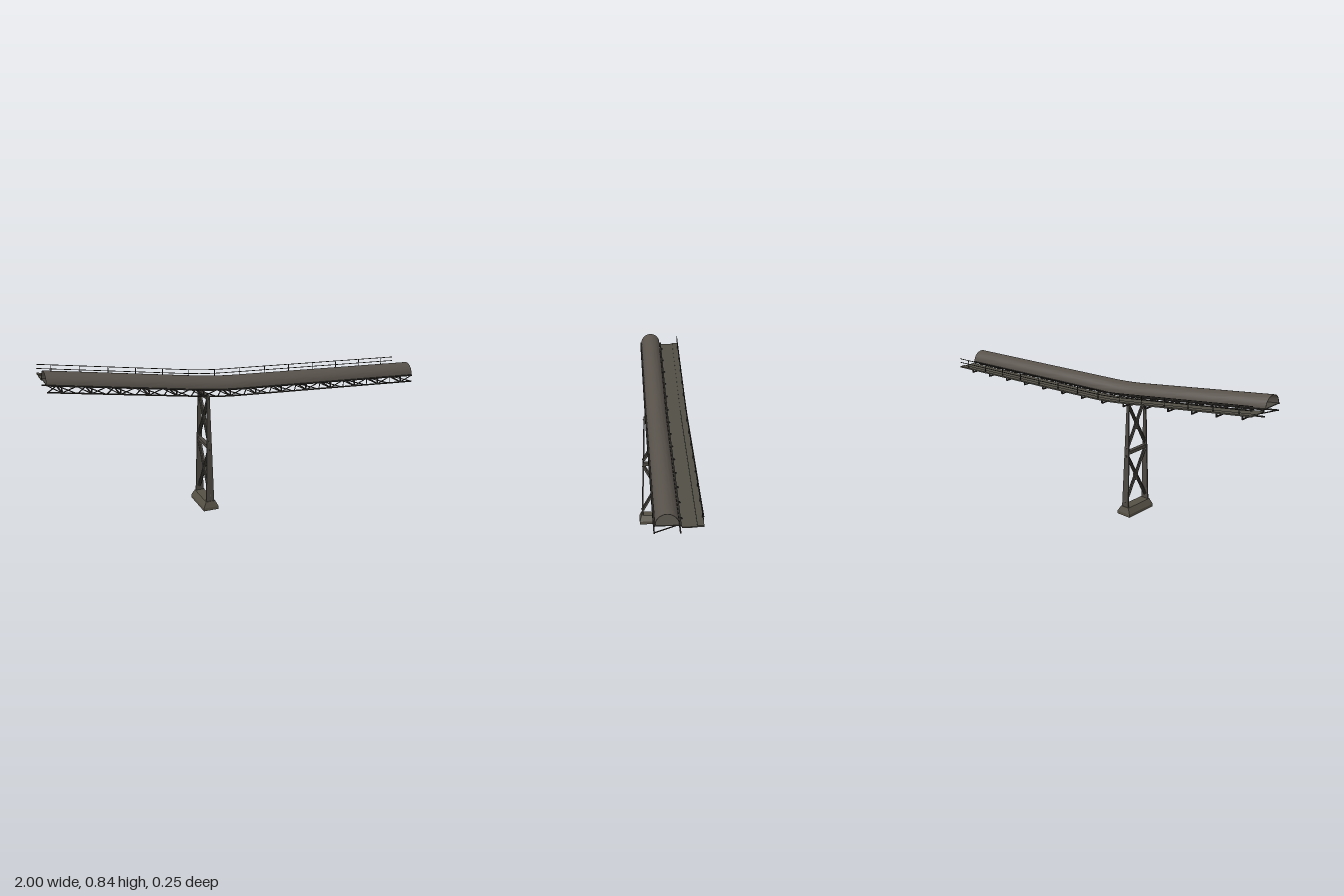
import * as THREE from 'three';
import { toCreasedNormals, mergeGeometries } from 'three/addons/utils/BufferGeometryUtils.js';

const paint = (name, color) => Object.assign(new THREE.MeshStandardMaterial({ color }), { name });
const V = (x, y, z) => new THREE.Vector3(x, y, z);

// Height of the gallery floor: two straight slopes blended by a short curve
function floorY(x) {
  const a = -0.24, b = -0.02, left = -0.163, right = -0.0585;
  if (x >= b) return 0.577 + right * (x - 1);
  if (x <= a) return 0.785 + left * (x + 1);
  const t = x - a;
  return 0.785 + left * (a + 1) + left * t + (right - left) * t * t / (2 * (b - a));
}

// Sweep a (z, y) outline along the gallery from x = -1 to x = 1
function sweep(points, crease) {
  const shape = new THREE.Shape(points.map(([z, y]) => new THREE.Vector2(-z, y)));
  let g = new THREE.ExtrudeGeometry(shape, { depth: 2, steps: 40, bevelEnabled: false });
  g.rotateY(Math.PI / 2).translate(-1, 0, 0);
  const p = g.attributes.position;
  for (let i = 0; i < p.count; i++) p.setY(i, p.getY(i) + floorY(p.getX(i)));
  g.computeVertexNormals();
  return crease ? toCreasedNormals(g, 0.6) : g;
}
const rect = (z0, z1, y0, y1) => sweep([[z0, y0], [z1, y0], [z1, y1], [z0, y1]]);

// Straight bar between two points, w wide sideways and h deep
function bar(a, b, w, h = w) {
  const o = new THREE.Object3D();
  o.position.copy(a).add(b).multiplyScalar(0.5);
  o.lookAt(b);
  o.updateMatrix();
  return new THREE.BoxGeometry(w, h, a.distanceTo(b)).applyMatrix4(o.matrix);
}

// Box whose lower and upper ends differ: [x size, z size, z centre]
function taper(x, y0, y1, low, high) {
  const g = new THREE.BoxGeometry(1, 1, 1).toNonIndexed();
  const p = g.attributes.position;
  for (let i = 0; i < p.count; i++) {
    const up = p.getY(i) > 0, [sx, sz, cz] = up ? high : low;
    p.setXYZ(i, x + p.getX(i) * sx, up ? y1 : y0, cz + p.getZ(i) * sz);
  }
  g.computeVertexNormals();
  return g;
}

export function createModel() {
  const root = new THREE.Group();
  root.name = 'conveyorGallery';
  const cover = paint('coverSteel', 0x57514a);
  const steel = paint('frameSteel', 0x4c4842);
  const deck = paint('walkwayDeck', 0x504d44);
  const dark = paint('darkSteel', 0x2e2c29);
  const concrete = paint('footing', 0x555045);
  const add = (name, geos, mat, parent = root) => {
    const list = [].concat(geos);
    const m = new THREE.Mesh(list.length > 1 ? mergeGeometries(list) : list[0], mat);
    m.name = name;
    parent.add(m);
    return m;
  };

  // Arched cover, a thin half tube open at both ends
  const cz = 0.035, arc = [];
  for (let i = 0; i <= 20; i++) arc.push([i * Math.PI / 20, 0.053]);
  for (let i = 20; i >= 0; i--) arc.push([i * Math.PI / 20, 0.051]);
  add('archedCover', sweep(arc.map(([a, r]) => [cz + r * Math.cos(a), r * Math.sin(a)]), true), cover);

  // Belt floor and walkway with its raised edge strip
  add('beltFloor', rect(-0.018, 0.088, -0.004, 0), steel);
  add('walkwayDeck', rect(-0.095, -0.028, -0.014, -0.009), deck);
  add('walkwayEdge', rect(-0.125, -0.095, -0.012, -0.005), deck);

  // Side trusses, floor beams and bracing, repeated in equal panels
  const truss = new THREE.Group();
  truss.name = 'truss';
  root.add(truss);
  const sides = [0.091, -0.023], panels = 14, step = 2 / panels, low = -0.037, high = -0.002;
  const at = (x, dy, z) => V(x, floorY(x) + dy, z);
  sides.forEach((z, s) => {
    const name = s ? 'back' : 'front';
    add(name + 'TopChord', rect(z - 0.004, z + 0.004, high - 0.004, high + 0.002), dark, truss);
    add(name + 'BottomChord', rect(z - 0.003, z + 0.003, low - 0.003, low + 0.003), dark, truss);
    const web = [];
    for (let i = 0; i < panels; i++) {
      const x = -1 + i * step, m = x + step / 2, e = x + step;
      web.push(bar(at(x, high, z), at(m, low, z), 0.004));
      web.push(bar(at(m, low, z), at(e, high, z), 0.004));
      web.push(bar(at(m, low, z), at(m, high, z), 0.006));
    }
    add(name + 'Web', web, dark, truss);
  });
  const beams = [], brackets = [];
  for (let i = 0; i < panels; i++) {
    const x = -1 + i * step, m = x + step / 2, e = x + step;
    beams.push(bar(at(m, low, 0.091), at(m, low, -0.095), 0.006));
    beams.push(bar(at(m, -0.008, 0.091), at(m, -0.008, -0.034), 0.008));
    beams.push(bar(at(x + 0.004, low, 0.091), at(m, low, -0.023), 0.004));
    beams.push(bar(at(m, low, -0.023), at(e - 0.004, low, 0.091), 0.004));
    brackets.push(bar(at(m, low, -0.093), at(m, -0.014, -0.093), 0.006));
    brackets.push(bar(at(m, low, -0.025), at(m, -0.014, -0.093), 0.004));
  }
  add('floorBeams', beams, dark, truss);
  add('walkwayBrackets', brackets, dark, truss);

  // Handrail along the outer edge of the walkway
  const rail = new THREE.Group();
  rail.name = 'handrail';
  root.add(rail);
  add('topRail', rect(-0.1235, -0.1205, 0.037, 0.04), dark, rail);
  add('middleRail', rect(-0.1235, -0.1205, 0.016, 0.019), dark, rail);
  const posts = [];
  for (let i = 0; i < panels; i++) {
    const x = -1 + (i + 0.5) * step;
    posts.push(bar(at(x, -0.006, -0.122), at(x, 0.038, -0.122), 0.003));
  }
  add('railPosts', posts, dark, rail);

  // Trestle tower on a stepped footing
  const tower = new THREE.Group();
  tower.name = 'tower';
  root.add(tower);
  const tx = -0.193, tz = 0.0335;
  add('footing', [
    taper(tx, 0, 0.016, [0.082, 0.187, tz], [0.082, 0.187, tz]),
    taper(tx, 0.016, 0.046, [0.082, 0.187, tz], [0.05, 0.168, tz]),
  ], concrete, tower);
  const half = y => 0.0775 - (y - 0.046) * 0.0235;
  for (const s of [1, -1]) {
    add(s > 0 ? 'frontLeg' : 'backLeg',
      taper(tx, 0.046, 0.618, [0.042, 0.007, tz + s * half(0.046)], [0.014, 0.007, tz + s * half(0.618)]),
      steel, tower);
  }

  // Crossed braces with a centre rib and a plate where they meet
  for (const [name, y0, y1] of [['lower', 0.07, 0.336], ['upper', 0.368, 0.61]]) {
    const braces = [];
    for (const s of [1, -1]) {
      const a = V(tx, y0, tz + s * half(y0)), b = V(tx, y1, tz - s * half(y1));
      braces.push(bar(a, b, 0.006, 0.018), bar(a, b, 0.018, 0.005));
    }
    add(name + 'Braces', braces, steel, tower);
    const plate = new THREE.CylinderGeometry(0.03, 0.03, 0.01, 8);
    plate.rotateY(Math.PI / 8).rotateZ(Math.PI / 2).scale(1, 1, 0.5);
    plate.translate(tx, (y0 + y1) / 2, tz);
    add(name + 'Gusset', plate, steel, tower);
  }
  for (const [name, y] of [['middleBeam', 0.346], ['topBeam', 0.61]]) {
    add(name, bar(V(tx, y, tz + half(y)), V(tx, y, tz - half(y)), 0.02, 0.018), steel, tower);
  }
  return root;
}
